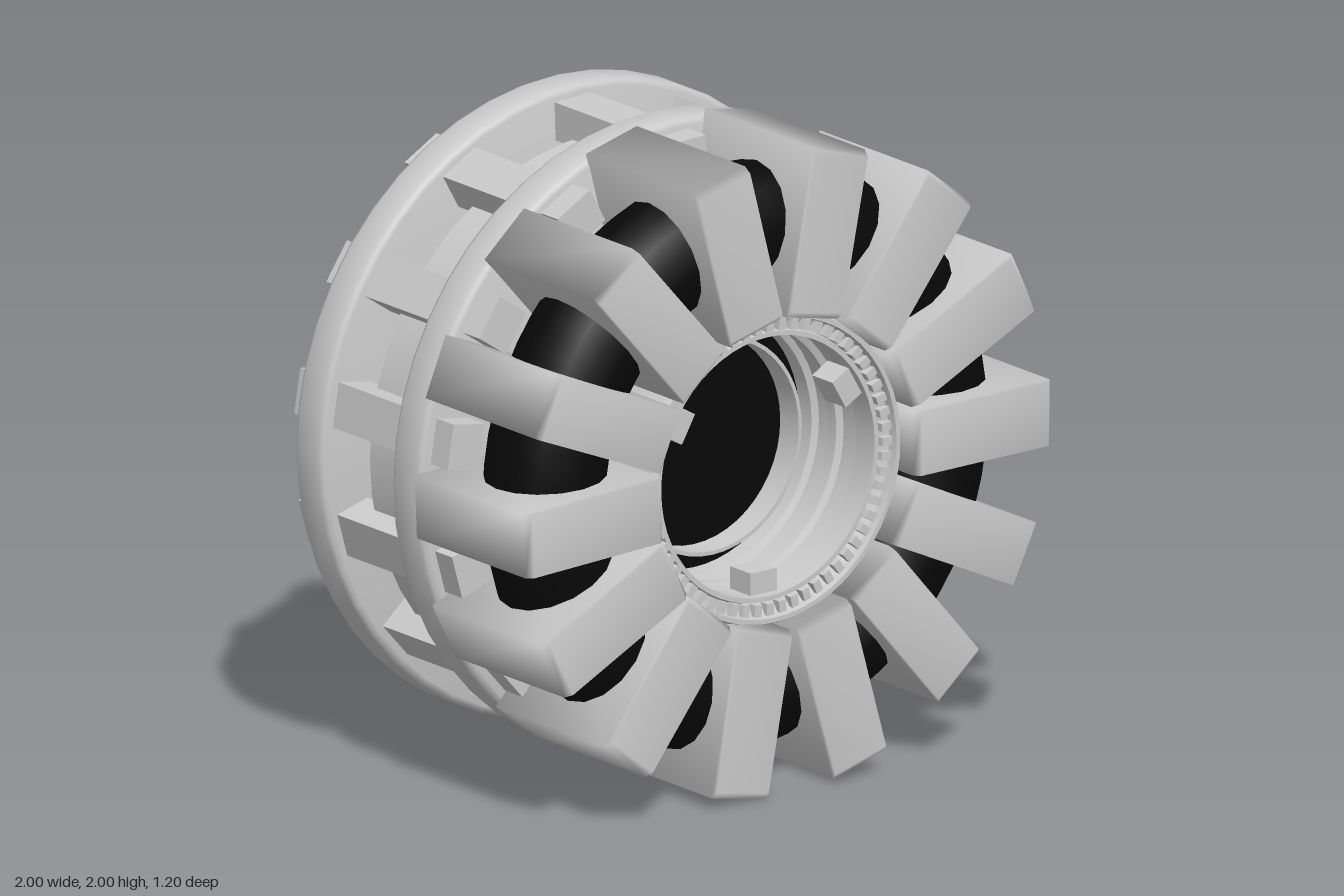
import * as THREE from 'three';
import { toCreasedNormals, mergeVertices } from 'three/addons/utils/BufferGeometryUtils.js';

const grey = new THREE.MeshStandardMaterial({ color: 0xcccccc });
const greyBoth = new THREE.MeshStandardMaterial({ color: 0xcccccc, side: THREE.DoubleSide });
const black = new THREE.MeshStandardMaterial({ color: 0x080808 });

// box with a narrow bevel at the ends of its front face and softly shaded corners
function softBlock(width, height, depth, bevel) {
  const g = new THREE.BoxGeometry(width, height, depth, 1, 1, 2);
  const p = g.attributes.position;
  for (let i = 0; i < p.count; i++) {
    if (Math.abs(p.getZ(i)) < 0.01) p.setZ(i, depth / 2 - bevel);
    else if (p.getZ(i) > 0) p.setX(i, p.getX(i) - Math.sign(p.getX(i)) * bevel);
  }
  g.deleteAttribute('normal');
  g.deleteAttribute('uv');
  const merged = mergeVertices(g);
  merged.computeVertexNormals();
  return merged;
}

export function createModel() {
  const model = new THREE.Group();
  model.name = 'reactorDrum';
  model.position.y = 1; // all parts turn around the z axis through this height

  const add = (name, geometry, material = grey, z = 0) => {
    const mesh = new THREE.Mesh(geometry, material);
    mesh.name = name;
    mesh.position.z = z;
    model.add(mesh);
    return mesh;
  };

  // profile of [radius, z] points, spun around the z axis
  const spin = (points, sides = 48, crease = 0.7) => {
    const g = new THREE.LatheGeometry(points.map(([r, z]) => new THREE.Vector2(r, z)), sides);
    return toCreasedNormals(g.rotateX(Math.PI / 2), crease);
  };

  // place a mesh at a radius and angle, its x axis pointing outward
  const place = (name, geometry, radius, degrees, z, material = grey) => {
    const mesh = add(name, geometry, material, z);
    const a = THREE.MathUtils.degToRad(degrees);
    mesh.position.set(radius * Math.cos(a), radius * Math.sin(a), z);
    mesh.rotation.z = a;
  };

  // rear disc with a crisp rim and a smooth dish sunk into the middle of its back
  const dish = [[0, -0.45]];
  for (let i = 0; i <= 14; i++) {
    const t = i / 14;
    dish.push([0.12 + t * 0.53, -0.55 + 0.05 * (1 + Math.cos(Math.PI * t))]);
  }
  const rearDisc = add('rearDisc', spin([
    ...dish, [0.965, -0.55], [0.98, -0.545], [0.987, -0.53],
    [0.987, -0.435], [0.98, -0.42], [0.965, -0.415], [0, -0.415],
  ], 48, 1));
  rearDisc.position.y = -0.005;

  // front disc
  const frontDisc = add('frontDisc', spin([
    [0, -0.08], [0.965, -0.08], [0.98, -0.075], [0.987, -0.06],
    [0.987, 0.04], [0.98, 0.055], [0.965, 0.06], [0, 0.06],
  ], 48, 1));
  frontDisc.position.y = -0.005;

  // drum band between the discs
  const band = add('middleBand', spin([
    [0.7, -0.13], [0.7, -0.33], [0.86, -0.33], [0.86, -0.13], [0.7, -0.13],
  ]));
  band.position.set(-0.01, -0.01, 0);

  // bars tying the discs together, passing between the blocks
  const bar = new THREE.BoxGeometry(0.12, 0.14, 0.745);
  const barAngles = [10.8, 38.5, 63.5, 92, 119.5, 146, 170.8, 196, 221.5, 247.5, 272.4, 298, 322, 347.8];
  for (const angle of barAngles) place('tieBar', bar, 0.885, angle, -0.23);

  // dark coil ring with the blocks clamped over it
  add('coilRing', new THREE.TorusGeometry(0.725, 0.185, 16, 56), black, 0.33);
  const block = softBlock(0.52, 0.2, 0.545, 0.02);
  const blockAngles = [0.5, 26, 51.9, 78.5, 104.8, 131.5, 157.5, 182.4, 207, 232, 259.3, 285.8, 310.7, 335.1];
  for (const angle of blockAngles) place('coilBlock', block, 0.738, angle, 0.328);

  // hollow core tube with a stepped mouth
  add('coreTube', spin([
    [0.4, 0.06], [0.47, 0.06], [0.49, 0.1], [0.49, 0.5], [0.48, 0.52], [0.465, 0.52],
    [0.46, 0.49], [0.425, 0.47], [0.42, 0.49], [0.405, 0.49], [0.405, 0.4],
    [0.42, 0.39], [0.42, 0.32], [0.4, 0.31], [0.4, 0.27], [0.42, 0.26], [0.42, 0.2],
    [0.4, 0.19], [0.4, 0.06],
  ], 56, 0.5), greyBoth);

  // small teeth around the mouth
  const tooth = new THREE.BoxGeometry(0.036, 0.026, 0.05);
  for (let i = 0; i < 60; i++) place('mouthTooth', tooth, 0.443, i * 6, 0.478);

  // dark floor, slim inner ring and three tabs inside the core
  add('coreFloor', new THREE.CircleGeometry(0.41, 48), black, 0.13);
  add('innerRing', spin([
    [0.328, 0.13], [0.34, 0.13], [0.34, 0.22], [0.328, 0.22], [0.328, 0.13],
  ]), greyBoth);
  const tab = new THREE.BoxGeometry(0.07, 0.1, 0.1);
  for (const angle of [30, 150, 270]) place('coreTab', tab, 0.365, angle, 0.42);

  const root = new THREE.Group();
  root.name = 'model';
  root.add(model);
  return root;
}
